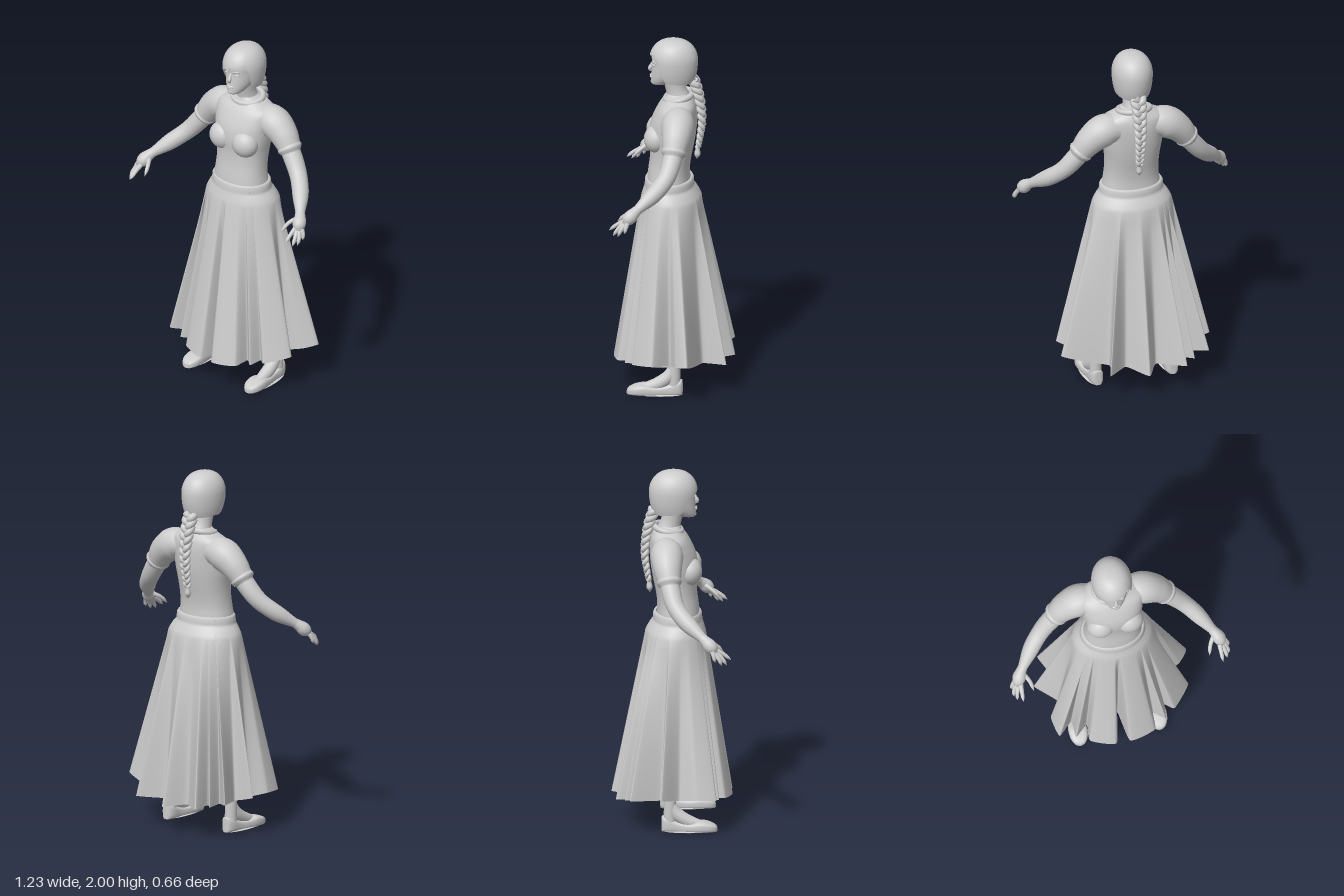
import * as THREE from 'three';

const grey = new THREE.MeshStandardMaterial({ color: 0xcccccc, side: THREE.DoubleSide });
grey.name = 'light grey';
const V = (p) => new THREE.Vector3(...p);

// smooth surface from rings: fn(u, v) gives a point, u wraps around
function surface(name, nu, nv, fn) {
  const pos = [], idx = [];
  for (let j = 0; j <= nv; j++)
    for (let i = 0; i < nu; i++) pos.push(...fn(i / nu, j / nv));
  for (let j = 0; j < nv; j++)
    for (let i = 0; i < nu; i++) {
      const a = j * nu + i, b = j * nu + (i + 1) % nu, c = a + nu, d = b + nu;
      idx.push(a, b, d, a, d, c);
    }
  const g = new THREE.BufferGeometry();
  g.setAttribute('position', new THREE.Float32BufferAttribute(pos, 3));
  g.setIndex(idx);
  g.computeVertexNormals();
  const m = new THREE.Mesh(g, grey);
  m.name = name;
  return m;
}

// smooth interpolation through a short table of rows
function table(rows, t) {
  const f = t * (rows.length - 1), i = Math.min(Math.floor(f), rows.length - 2), k = f - i;
  const at = (n) => rows[Math.max(0, Math.min(rows.length - 1, n))];
  return rows[i].map((p1, c) => {
    const p0 = at(i - 1)[c], p2 = at(i + 1)[c], p3 = at(i + 2)[c];
    return p1 + 0.5 * k * (p2 - p0 + k * (2 * p0 - 5 * p1 + 4 * p2 - p3 + k * (3 * (p1 - p2) + p3 - p0)));
  });
}

// horizontal sections: rows of [y, half width, front z, back z]
function loft(name, rows, e = 0.9) {
  const pw = (x) => Math.sign(x) * Math.abs(x) ** e;
  return surface(name, 40, 40, (u, v) => {
    const [y, w, f, b] = table(rows, v), a = u * Math.PI * 2;
    return [w * pw(Math.sin(a)), y, (f + b) / 2 + (f - b) / 2 * pw(Math.cos(a))];
  });
}

// tapered tube through points with a radius at each
function limb(name, pts, radii, nu = 18, nv = 24) {
  const curve = new THREE.CatmullRomCurve3(pts.map(V));
  const fr = curve.computeFrenetFrames(nv, false);
  const rows = radii.map((r) => [r]);
  return surface(name, nu, nv, (u, v) => {
    const j = Math.round(v * nv), a = u * Math.PI * 2;
    const r = Math.max(0, table(rows, v)[0]);
    return curve.getPointAt(v)
      .addScaledVector(fr.normals[j], r * Math.cos(a))
      .addScaledVector(fr.binormals[j], r * Math.sin(a)).toArray();
  });
}

function ball(name, p, r) {
  const m = new THREE.Mesh(new THREE.SphereGeometry(1, 24, 16), grey);
  m.name = name;
  m.position.set(...p);
  m.scale.set(...r);
  return m;
}

function makeSkirt() {
  // hem outline, x and z, with peaks and valleys of the folds
  const hem = [[0, .15], [.035, .325], [.18, .295], [.19, .2], [.25, .25], [.26, .17], [.31, .205],
    [.41, .09], [.31, 0], [.39, -.04], [.437, -.11], [.19, -.17], [.22, -.305], [.1, -.2], [.005, -.335],
    [-.07, -.21], [-.215, -.315], [-.2, -.19], [-.275, -.265], [-.25, -.15], [-.365, -.24], [-.29, -.07],
    [-.42, -.07], [-.31, .03], [-.365, .12], [-.34, .235], [-.26, .16], [-.25, .25], [-.18, .19],
    [-.18, .285], [-.04, .325]].reverse();
  const curve = new THREE.CatmullRomCurve3(hem.map(([x, z]) => V([x, 0, z])), true, 'catmullrom', 0.25);
  const waist = [[1.2, .162, .147, -.09], [1.197, .176, .158, -.105], [1.16, .18, .162, -.108],
    [1.15, .183, .163, -.112], [1.12, .207, .172, -.132], [1.085, .224, .182, -.15]];
  return surface('skirt', hem.length * 8, 24, (u, v) => {
    const h = curve.getPoint(u), a = Math.atan2(h.x / .42, h.z / .32);
    const [y, w, f, b] = table(waist, Math.min(1, v * 3));
    const x = w * Math.sin(a), z = (f + b) / 2 + (f - b) / 2 * Math.cos(a);
    const s = Math.max(0, (v * 3 - 1) / 2);
    const end = .165 + .07 * (h.x / .42) ** 2;
    return [x + (h.x - x) * s, y + (end - y) * s, z + (h.z - z) * s];
  });
}

function makeHair() {
  // cap whose lower edge rises over the face with a swept fringe
  return surface('hair', 64, 28, (u, v) => {
    const a = -u * Math.PI * 2, s = Math.sin(a), c = Math.cos(a);
    const face = THREE.MathUtils.smoothstep(c, .3, .72);
    const low = 1.768 + .012 * c;
    const fringe = 1.905 + s * (s > 0 ? .036 : .066);
    const drop = low + (fringe - low) * face - 1.88;
    const th = v * Math.acos(drop / (drop > 0 ? .12 : .2));
    const r = Math.sin(th) ** .8, q = Math.cos(th);
    return [.111 * r * s, 1.88 + (q > 0 ? .12 : .2) * q, .005 + (c > 0 ? .132 : .135) * r * c];
  });
}

function makeHead() {
  const g = new THREE.Group();
  g.name = 'head';
  g.add(loft('face', [[1.735, 0, .1, .09], [1.738, .028, .122, .05], [1.752, .046, .128, .01],
    [1.785, .068, .127, -.05], [1.82, .08, .124, -.08], [1.86, .087, .121, -.095], [1.9, .088, .124, -.1],
    [1.94, .078, .108, -.09], [1.97, .05, .07, -.05], [1.975, 0, .01, 0]], 1));
  g.add(limb('neck', [[0, 1.62, -.035], [0, 1.7, -.012], [0, 1.8, .01]], [.07, .056, .06]));
  g.add(limb('nose', [[0, 1.868, .116], [0, 1.84, .128], [0, 1.82, .134], [0, 1.812, .122]], [.006, .009, .012, .004], 12, 12));
  g.add(ball('upperLip', [0, 1.789, .126], [.023, .005, .009]));
  g.add(ball('lowerLip', [0, 1.78, .126], [.019, .006, .009]));
  g.add(ball('chin', [0, 1.752, .112], [.024, .016, .018]));
  for (const s of [-1, 1]) {
    g.add(ball('eye', [s * .034, 1.858, .106], [.015, .007, .012]));
    g.add(limb('brow', [[s * .013, 1.873, .12], [s * .036, 1.88, .114], [s * .06, 1.872, .093]], [.003, .005, .002], 8, 10));
  }
  g.add(makeHair());
  return g;
}

function makeBraid() {
  const g = new THREE.Group();
  g.name = 'braid';
  const spine = new THREE.CatmullRomCurve3([[0, 1.78, -.1], [0, 1.7, -.128], [0, 1.61, -.146],
    [0, 1.52, -.152], [0, 1.44, -.142], [0, 1.37, -.13]].map(V));
  // three strands crossing over each other
  for (let k = 0; k < 3; k++) {
    const pts = [], radii = [];
    for (let i = 0; i <= 48; i++) {
      const t = i / 48, p = spine.getPoint(t), a = t * Math.PI * 7 + k * Math.PI * 2 / 3, n = 1 - .5 * t;
      pts.push([p.x + .026 * n * Math.sin(a), p.y, p.z + .014 * n * Math.sin(2 * a)]);
      radii.push(.021 * n);
    }
    g.add(limb('strand', pts, radii, 10, 96));
  }
  g.add(limb('braidTail', [[0, 1.385, -.132], [0, 1.365, -.129], [0, 1.34, -.127], [0, 1.3, -.124]], [.011, .013, .017, 0], 12, 14));
  return g;
}

function makeArm() {
  const g = new THREE.Group();
  g.name = 'arm';
  g.add(limb('sleeve', [[.09, 1.575, -.035], [.17, 1.568, -.035], [.245, 1.52, -.032], [.312, 1.437, -.022]],
    [.075, .09, .078, .062]));
  g.add(limb('sleeveCuff', [[.288, 1.47, -.026], [.304, 1.449, -.023], [.32, 1.427, -.02]],
    [.058, .069, .052], 24, 12));
  g.add(limb('forearm', [[.27, 1.49, -.028], [.33, 1.41, -.015], [.39, 1.335, .01], [.45, 1.275, .06], [.535, 1.195, .16]],
    [.054, .053, .048, .044, .026]));
  g.add(limb('palm', [[.525, 1.205, .148], [.548, 1.18, .178], [.565, 1.15, .207], [.575, 1.128, .226], [.578, 1.12, .233]],
    [.026, .03, .037, .03, 0]));
  // knuckle, middle joint and tip of each finger
  const fingers = [
    ['thumb', [.535, 1.18, .18], [.505, 1.155, .225], [.49, 1.11, .272]],
    ['indexFinger', [.556, 1.14, .228], [.557, 1.115, .272], [.558, 1.083, .312]],
    ['middleFinger', [.57, 1.13, .23], [.582, 1.1, .26], [.587, 1.062, .287]],
    ['ringFinger', [.582, 1.13, .222], [.598, 1.095, .245], [.6, 1.062, .26]],
    ['littleFinger', [.588, 1.14, .207], [.602, 1.112, .215], [.605, 1.082, .222]]];
  for (const [name, a, b, c] of fingers) g.add(limb(name, [a, b, c], [.014, .0125, .011, .0095, 0], 10, 14));
  return g;
}

function makeLeg() {
  const g = new THREE.Group();
  g.name = 'leg';
  g.add(limb('shin', [[.1, 1.05, .02], [.13, .8, .02], [.17, .52, .01], [.2, .34, -.02], [.217, .17, -.018], [.217, .06, -.02]],
    [.1, .085, .06, .05, .035, .034]));
  g.add(limb('instep', [[.217, .15, -.012], [.218, .1, .02], [.22, .06, .08], [.222, .035, .16]], [.03, .036, .034, .025]));
  // shoe sections along its length: z, half width, height, centre x
  const rows = [[-.064, 0, .07, .215], [-.06, .024, .09, .215], [-.03, .037, .08, .215], [.03, .037, .058, .217],
    [.09, .044, .052, .22], [.15, .052, .062, .222], [.2, .047, .052, .222], [.233, .027, .036, .222], [.242, 0, .02, .222]];
  const pw = (t) => Math.sign(t) * Math.abs(t) ** .6;
  g.add(surface('shoe', 28, 36, (u, v) => {
    const [z, w, h, x] = table(rows, v), a = u * Math.PI * 2;
    return [x + w * pw(Math.cos(a)), Math.max(.004, h / 2 * (1 + pw(Math.sin(a)))), z];
  }));
  g.add(ball('sole', [.22, .006, .089], [.05, .006, .153]));
  return g;
}

export function createModel() {
  const model = new THREE.Group();
  model.name = 'woman';
  model.add(makeSkirt(), makeHead(), makeBraid());
  model.add(loft('blouse', [[1.15, .165, .15, -.09], [1.2, .16, .147, -.086], [1.25, .153, .142, -.085],
    [1.31, .15, .134, -.092], [1.38, .154, .132, -.106], [1.45, .165, .138, -.118], [1.52, .172, .13, -.125],
    [1.58, .18, .106, -.126], [1.625, .178, .08, -.12], [1.655, .13, .055, -.108], [1.675, .085, .046, -.095],
    [1.69, .058, .04, -.07]]));
  for (const s of [-1, 1]) model.add(ball('bust', [s * .08, 1.445, .092], [.078, .078, .068]));
  // collar tipped forward around the neck
  const collar = new THREE.Mesh(new THREE.TorusGeometry(1, .2, 12, 48).rotateX(Math.PI / 2), grey);
  collar.name = 'collar';
  collar.scale.set(.087, .085, .075);
  collar.position.set(0, 1.67, -.026);
  collar.rotation.x = .2;
  model.add(collar);
  for (const s of [1, -1]) {
    const side = new THREE.Group();
    side.name = s > 0 ? 'leftLimbs' : 'rightLimbs';
    side.add(makeArm(), makeLeg());
    side.scale.x = s;
    model.add(side);
  }
  return model;
}
